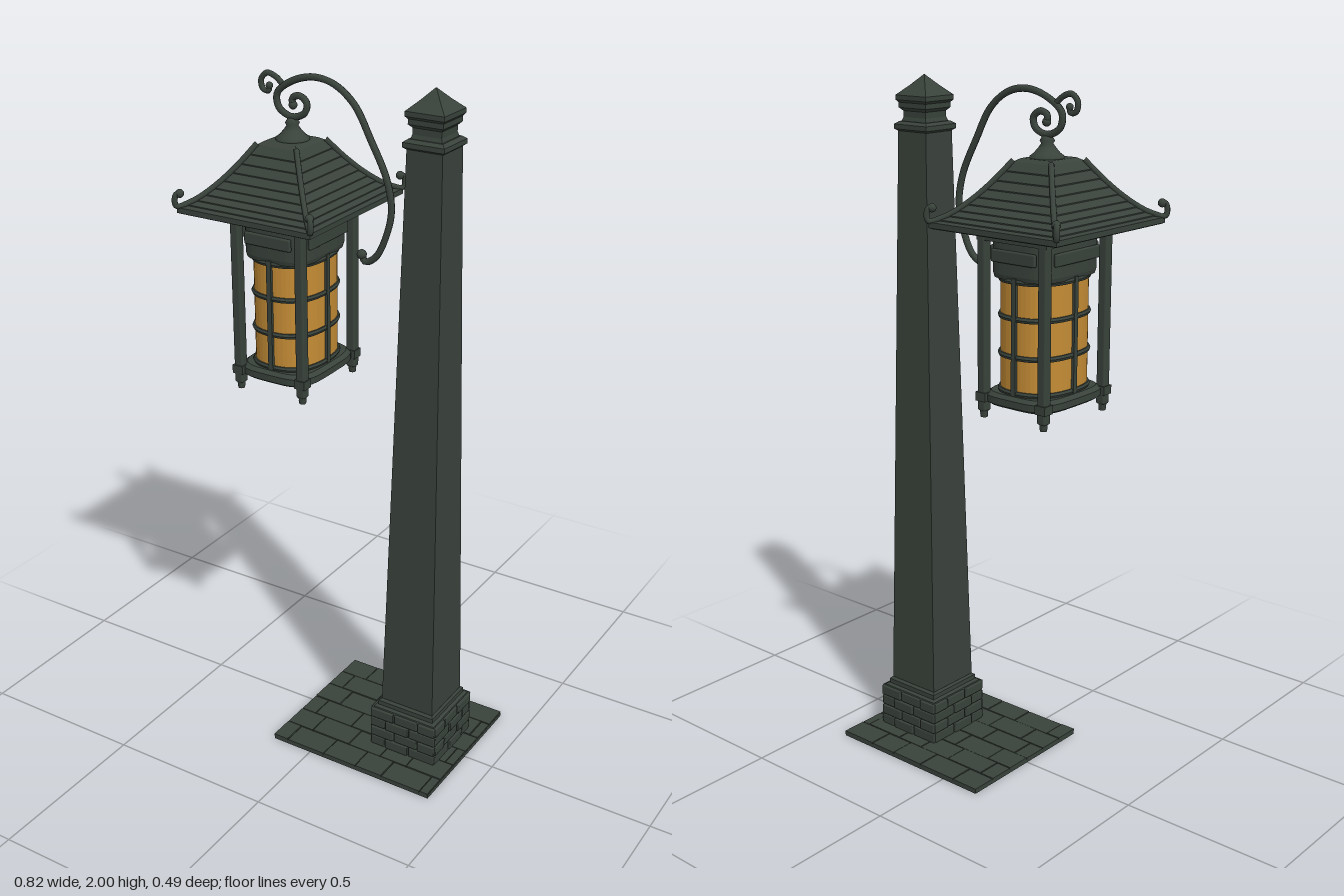
import * as THREE from 'three';
import { RoundedBoxGeometry } from 'three/addons/geometries/RoundedBoxGeometry.js';

const iron = new THREE.MeshStandardMaterial({ color: 0x39423b });
iron.name = 'dark weathered iron';
const amber = new THREE.MeshStandardMaterial({ color: 0xc48c35 });
amber.name = 'amber glass';

// Closed solid from a unit outline of [x, z] points scaled through rings [halfX, halfZ, y]
function loft(outline, rings) {
  const n = outline.length, pos = [], idx = [];
  for (const [hx, hz, y] of rings) for (const [x, z] of outline) pos.push(x * hx, y, z * hz);
  for (let r = 0; r < rings.length - 1; r++) {
    for (let i = 0; i < n; i++) {
      const j = (i + 1) % n, a = r * n + i, b = r * n + j, c = a + n, d = b + n;
      idx.push(a, c, b, b, c, d);
    }
  }
  const last = rings.length - 1, bottom = rings.length * n, top = bottom + 1;
  pos.push(0, rings[0][2], 0, 0, rings[last][2], 0);
  for (let i = 0; i < n; i++) {
    const j = (i + 1) % n;
    idx.push(bottom, i, j, top, last * n + j, last * n + i);
  }
  const g = new THREE.BufferGeometry();
  g.setAttribute('position', new THREE.Float32BufferAttribute(pos, 3));
  g.setIndex(idx);
  const flat = g.toNonIndexed();
  flat.computeVertexNormals();
  return flat;
}

const square = [[1, 1], [-1, 1], [-1, -1], [1, -1]];

// Rounded square outline; a higher power gives squarer corners
function bowed(power, n = 48) {
  const f = (v) => Math.sign(v) * Math.pow(Math.abs(v), 2 / power);
  return Array.from({ length: n }, (_, i) => {
    const a = (i / n) * Math.PI * 2;
    return [f(Math.cos(a)), f(Math.sin(a))];
  });
}

function add(parent, name, geometry, material = iron, x = 0, y = 0, z = 0) {
  const m = new THREE.Mesh(geometry, material);
  m.name = name;
  m.position.set(x, y, z);
  parent.add(m);
  return m;
}

const box = (w, h, d) => new THREE.BoxGeometry(w, h, d);

function tube(points, radius, segments = 60) {
  const curve = new THREE.CatmullRomCurve3(points.map((p) => new THREE.Vector3(...p)));
  return new THREE.TubeGeometry(curve, segments, radius, 8);
}

function ball(parent, name, r, p) {
  add(parent, name, new THREE.SphereGeometry(r, 10, 8), iron, ...p);
}

function buildGround() {
  const g = new THREE.Group();
  g.name = 'pavedGround';
  add(g, 'groundSlab', box(0.535, 0.012, 0.465), iron, 0.14, 0.006, -0.004);
  // Staggered paving stones
  const rows = 6, d = 0.47 / rows;
  for (let r = 0; r < rows; r++) {
    let x = -0.13, k = 0;
    while (x < 0.405) {
      let w = k === 0 && r % 2 ? 0.05 : 0.09 + 0.02 * ((r * 3 + k * 2) % 3);
      if (x + w > 0.38) w = 0.408 - x;
      add(g, 'pavingStone', box(w - 0.003, 0.006, d - 0.003), iron,
        x + w / 2, 0.0125 + 0.0008 * ((r + k) % 3), -0.239 + d * (r + 0.5));
      x += w;
      k++;
    }
  }
  return g;
}

function buildPillar() {
  const g = new THREE.Group();
  g.name = 'pillar';
  g.position.set(0.25, 0, -0.006);
  // Brick plinth
  add(g, 'plinthCore', box(0.204, 0.135, 0.212), iron, 0, 0.072, 0);
  const courses = 4, h = 0.132 / courses;
  for (let c = 0; c < courses; c++) {
    const y = 0.014 + h * (c + 0.5);
    const cuts = c % 2 ? [-0.11, -0.03, 0.05, 0.11] : [-0.11, -0.06, 0.02, 0.11];
    for (let k = 0; k < 3; k++) {
      const w = cuts[k + 1] - cuts[k] - 0.004, mid = (cuts[k] + cuts[k + 1]) / 2;
      for (const s of [1, -1]) {
        const bulge = 0.002 * ((c + k) % 2);
        add(g, 'brick', new RoundedBoxGeometry(w, h - 0.003, 0.02, 1, 0.003), iron, mid * s, y, s * (0.104 + bulge));
        add(g, 'brick', new RoundedBoxGeometry(0.02, h - 0.003, w, 1, 0.003), iron, s * (0.1 + bulge), y, mid * s);
      }
    }
  }
  add(g, 'plinthTop', loft(square, [[0.105, 0.11, 0.138], [0.102, 0.106, 0.148], [0.092, 0.096, 0.152], [0.092, 0.096, 0.166], [0.086, 0.088, 0.172]]));
  // Tapered shaft, collar, neck and pyramid cap
  add(g, 'shaft', loft(square, [[0.086, 0.088, 0.15], [0.052, 0.053, 1.86]]));
  add(g, 'collar', loft(square, [[0.05, 0.05, 1.845], [0.061, 0.061, 1.853], [0.061, 0.061, 1.866], [0.05, 0.05, 1.874]]));
  add(g, 'neck', loft(square, [[0.047, 0.047, 1.87], [0.042, 0.042, 1.885], [0.042, 0.042, 1.912]]));
  add(g, 'cap', loft(square, [[0.042, 0.042, 1.902], [0.051, 0.051, 1.911], [0.051, 0.051, 1.925], [0.057, 0.057, 1.932],
    [0.057, 0.057, 1.945], [0.03, 0.03, 1.97], [0.001, 0.001, 2.0]]));
  return g;
}

function buildRoof() {
  const g = new THREE.Group();
  g.name = 'lanternRoof';
  g.position.set(-0.187, 0, -0.002);
  // Concave sweep from eave to top, laid in stepped shingle rows
  const sweep = (t) => {
    const k = Math.pow(t, 1.6);
    return [0.213 - 0.15 * t, 0.236 - 0.167 * t, 1.642 + 0.02 * t + 0.138 * k];
  };
  const rings = [[0.207, 0.23, 1.627], [0.213, 0.236, 1.63]];
  const rows = 9;
  for (let i = 0; i < rows; i++) {
    const a = sweep(i / rows), b = sweep((i + 1) / rows);
    rings.push([a[0], a[1], a[2] + 0.003], b);
  }
  rings.push([0.05, 0.054, 1.808]);
  add(g, 'shingles', loft(square, rings));
  // Ridges with upturned horns on the four corners
  for (const sx of [1, -1]) for (const sz of [1, -1]) {
    const hip = [1, 0.75, 0.5, 0.25, 0.04].map((t) => {
      const [x, z, y] = sweep(t);
      return [sx * x, y + 0.003, sz * z];
    });
    add(g, 'ridge', tube(hip, 0.008, 20));
    const e = hip[4];
    const horn = [e, [sx * 0.215, 1.65, sz * 0.237], [sx * 0.217, 1.668, sz * 0.239],
      [sx * 0.213, 1.682, sz * 0.235], [sx * 0.206, 1.684, sz * 0.228]];
    add(g, 'horn', tube(horn, 0.008, 20));
    ball(g, 'hornTip', 0.012, [sx * 0.207, 1.683, sz * 0.229]);
  }
  // Round finial
  const profile = [[0, 1.8], [0.046, 1.802], [0.047, 1.812], [0.036, 1.82], [0.024, 1.834], [0.016, 1.845], [0.02, 1.853], [0.014, 1.863], [0, 1.87]];
  add(g, 'finial', new THREE.LatheGeometry(profile.map((p) => new THREE.Vector2(...p)), 20), iron, 0.003, 0, -0.003);
  return g;
}

function buildLantern() {
  const g = new THREE.Group();
  g.name = 'lanternBody';
  g.position.set(-0.177, 0, 0);
  const round = bowed(2.5), base = bowed(4);
  // Bowed glass and its frame
  add(g, 'glass', loft(round, [[0.1, 0.126, 1.17], [0.1, 0.126, 1.51]]), amber);
  for (const y of [1.19, 1.29, 1.395, 1.495]) {
    add(g, 'frameHoop', loft(round, [[0.104, 0.13, y - 0.007], [0.107, 0.133, y], [0.104, 0.13, y + 0.007]]));
  }
  for (const s of [1, -1]) {
    add(g, 'frameBar', box(0.015, 0.33, 0.014), iron, 0, 1.34, s * 0.127);
    add(g, 'frameBar', box(0.014, 0.33, 0.015), iron, s * 0.101, 1.34, 0);
  }
  // Base plate and upper housing
  add(g, 'basePlate', loft(base, [[0.112, 0.138, 1.148], [0.122, 0.147, 1.155], [0.122, 0.147, 1.174], [0.11, 0.136, 1.184]]));
  add(g, 'housing', loft(base, [[0.103, 0.129, 1.498], [0.106, 0.132, 1.51], [0.106, 0.132, 1.635]]));
  add(g, 'topBeam', box(0.236, 0.03, 0.288), iron, 0, 1.612, 0);
  for (const s of [1, -1]) {
    // Arched plates above the windows
    add(g, 'panelTrim', new RoundedBoxGeometry(0.15, 0.035, 0.012, 2, 0.005), iron, 0, 1.56, s * 0.134);
    add(g, 'panelTrim', new RoundedBoxGeometry(0.012, 0.035, 0.19, 2, 0.005), iron, s * 0.108, 1.56, 0);
    // Corner posts with rounded feet
    for (const t of [1, -1]) {
      const x = s * 0.104, z = t * 0.131;
      add(g, 'cornerPost', new RoundedBoxGeometry(0.028, 0.51, 0.028, 2, 0.006), iron, x, 1.38, z);
      add(g, 'postFoot', new THREE.CylinderGeometry(0.014, 0.01, 0.04, 10), iron, x, 1.127, z);
      ball(g, 'footTip', 0.011, [x, 1.116, z]);
      add(g, 'postBand', box(0.034, 0.025, 0.034), iron, x, 1.166, z);
    }
  }
  return g;
}

function buildArm() {
  const g = new THREE.Group();
  g.name = 'scrollArm';
  g.position.z = -0.006;
  // Long curved arm ending in a scroll above the finial
  const arm = [[0.034, 1.522], [0.045, 1.503], [0.078, 1.522], [0.11, 1.587], [0.125, 1.66], [0.11, 1.74], [0.06, 1.84],
    [0.01, 1.925], [-0.05, 1.97], [-0.115, 1.982], [-0.185, 1.963], [-0.232, 1.926], [-0.227, 1.888], [-0.185, 1.868],
    [-0.145, 1.883], [-0.138, 1.91], [-0.16, 1.927], [-0.184, 1.918], [-0.182, 1.9]].map(([x, y]) => [x, y, 0]);
  add(g, 'arm', tube(arm, 0.0095, 140));
  ball(g, 'armEnd', 0.014, arm[0]);
  ball(g, 'scrollEnd', 0.012, arm[arm.length - 1]);
  // Small side curl
  const curl = [[-0.21, 1.948], [-0.238, 1.97], [-0.264, 1.976], [-0.283, 1.957], [-0.278, 1.932], [-0.26, 1.929], [-0.257, 1.943]]
    .map(([x, y]) => [x, y, 0]);
  add(g, 'sideCurl', tube(curl, 0.008, 50));
  ball(g, 'curlEnd', 0.01, curl[curl.length - 1]);
  return g;
}

export function createModel() {
  const model = new THREE.Group();
  model.name = 'lanternPost';
  model.add(buildGround(), buildPillar(), buildLantern(), buildRoof(), buildArm());
  return model;
}
